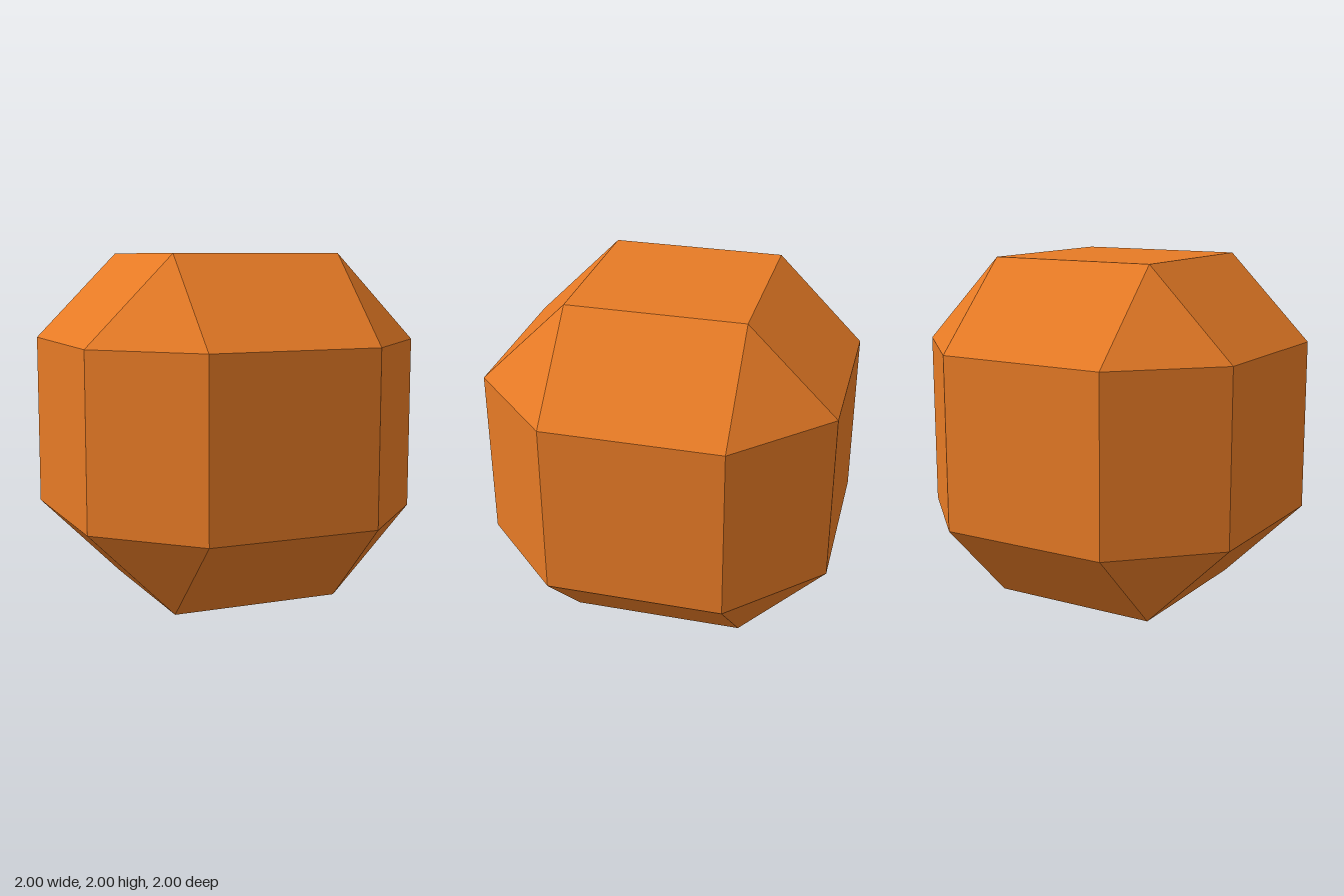
import * as THREE from 'three';
import { ConvexGeometry } from 'three/addons/geometries/ConvexGeometry.js';

export function createModel() {
  const group = new THREE.Group();
  group.name = 'facetedBall';

  const orange = new THREE.MeshStandardMaterial({ color: 0xe67a25 });
  orange.name = 'orange';

  // One square of corners on each of the six sides, half as wide as the ball
  const points = [];
  for (const side of [-1, 1])
    for (const u of [-0.5, 0.5])
      for (const v of [-0.5, 0.5])
        points.push(
          new THREE.Vector3(side, u, v),
          new THREE.Vector3(u, side, v),
          new THREE.Vector3(u, v, side)
        );

  // The hull adds the bevelled edges and triangular corners, with flat normals
  const body = new THREE.Mesh(new ConvexGeometry(points), orange);
  body.name = 'rhombicuboctahedron';
  body.position.y = 1;
  group.add(body);

  return group;
}
